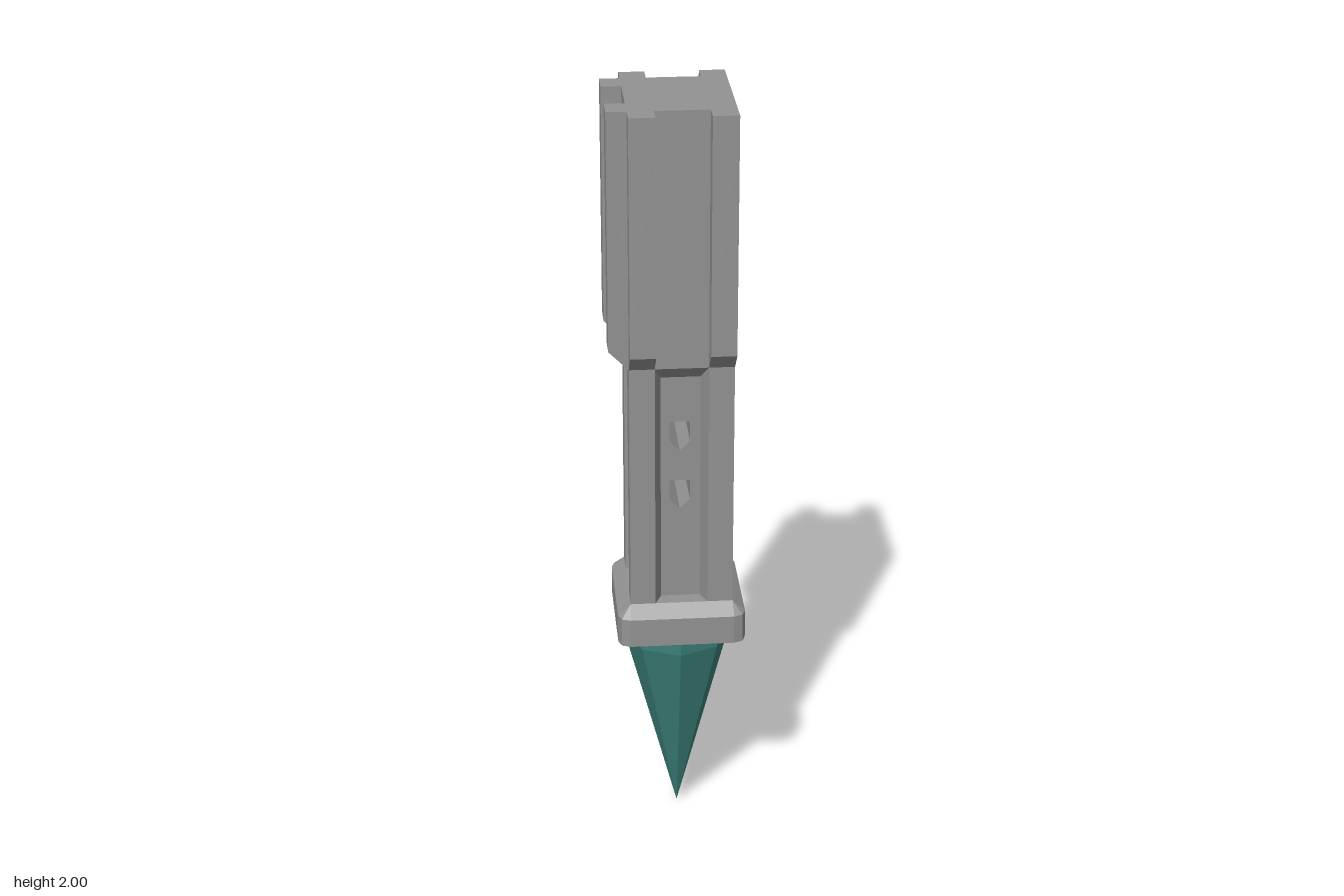
import * as THREE from 'three';

const H = 0.131;      // half width of the shaft
const G = 0.067;      // half width of a groove mouth
const D = 0.091;      // distance of a groove floor from the axis
const grey = new THREE.MeshStandardMaterial({ color: 0x939393, flatShading: true });
const teal = new THREE.MeshStandardMaterial({ color: 0x3c8079, flatShading: true });

const shapeOf = (pts) => new THREE.Shape(pts.map(([x, y]) => new THREE.Vector2(x, y)));

function extrude(shape, from, to) {
  const geo = new THREE.ExtrudeGeometry(shape, { depth: to - from, bevelEnabled: false });
  return geo.translate(0, 0, from);
}

// Square ring of half width h with corners cut by c, at height y
function ring(y, h, c) {
  const pts = [];
  const m = h - c * 0.28;
  for (let k = 0; k < 4; k++) {
    const co = Math.round(Math.cos(k * Math.PI / 2)), si = Math.round(Math.sin(k * Math.PI / 2));
    for (const [x, z] of [[h, h - c], [m, m], [h - c, h]]) {
      pts.push([x * co - z * si, y, x * si + z * co]);
    }
  }
  return pts;
}

// Skin joining consecutive rings
function loft(rings) {
  const pos = [];
  for (let i = 0; i < rings.length - 1; i++) {
    const n = rings[i].length;
    for (let j = 0; j < n; j++) {
      const a = rings[i][j], b = rings[i][(j + 1) % n];
      const c = rings[i + 1][j], d = rings[i + 1][(j + 1) % n];
      pos.push(...a, ...c, ...b, ...b, ...c, ...d);
    }
  }
  const geo = new THREE.BufferGeometry();
  geo.setAttribute('position', new THREE.Float32BufferAttribute(pos, 3));
  geo.computeVertexNormals();
  return geo;
}

export function createModel() {
  const model = new THREE.Group();
  model.name = 'spikedPost';
  const body = new THREE.Group();
  body.name = 'body';
  body.position.set(0.0075, 0, -0.001);
  model.add(body);

  const add = (name, geo, mat = grey, turn = 0) => {
    const mesh = new THREE.Mesh(geo, mat);
    mesh.name = name;
    mesh.rotation.y = turn * Math.PI / 2;
    body.add(mesh);
    return mesh;
  };

  // Eight-sided spike with a short straight neck
  const tip = new THREE.CylinderGeometry(0.138, 0, 0.53, 8, 1, true);
  add('spike', tip.translate(-0.002, 0.265, 0), teal);
  const neck = new THREE.CylinderGeometry(0.138, 0.138, 0.1, 8);
  add('spikeNeck', neck.translate(-0.002, 0.58, 0), teal);

  // Collar, hollow underneath, with a sloping top
  add('collar', loft([
    ring(0.625, 0, 0),
    ring(0.625, 0.145, 0.026),
    ring(0.578, 0.145, 0.026),
    ring(0.578, 0.164, 0.031),
    ring(0.655, 0.164, 0.031),
    ring(0.685, H, 0),
    ring(0.685, 0, 0),
  ]));

  // Shaft core with two pointed windows passing through
  const core = shapeOf([[-D, 0.67], [D, 0.67], [D, 1.345], [-D, 1.345]]);
  for (const y of [0.935, 1.098]) {
    const w = 0.026, x = -0.002;
    core.holes.push(shapeOf([
      [x, y], [x - w, y + 0.026], [x - w, y + 0.08], [x + w, y + 0.08], [x + w, y + 0.026],
    ]));
  }
  add('shaftCore', extrude(core, -D, D));

  // Corner posts with slanted groove sides, and a sloping cap above each groove
  const corner = shapeOf([[H, H], [G, H], [0.05, D], [0.05, 0.05], [D, 0.05], [H, G]]);
  const post = extrude(corner, 0.67, 1.34).rotateX(-Math.PI / 2);
  const cap = extrude(shapeOf([[D - 0.01, 1.30], [D, 1.30], [H, 1.34], [D - 0.01, 1.34]]), -G, G);
  for (let k = 0; k < 4; k++) {
    add('cornerPost', post, grey, k);
    add('grooveCap', cap, grey, k);
  }

  // Upper block
  const block = new THREE.BoxGeometry(2 * H, 0.66, 2 * H);
  add('upperBlock', block.translate(0, 1.67, 0));

  // Pairs of ribs on the front, back and right, chamfered at the foot
  const ribShape = shapeOf([[H - 0.02, 1.34], [H, 1.34], [H + 0.05, 1.39], [H + 0.05, 2], [H - 0.02, 2]]);
  for (const turn of [1, 2, 3]) {
    add('rib', extrude(ribShape, G, H), grey, turn);
    add('rib', extrude(ribShape, -H, -G), grey, turn);
  }
  return model;
}
